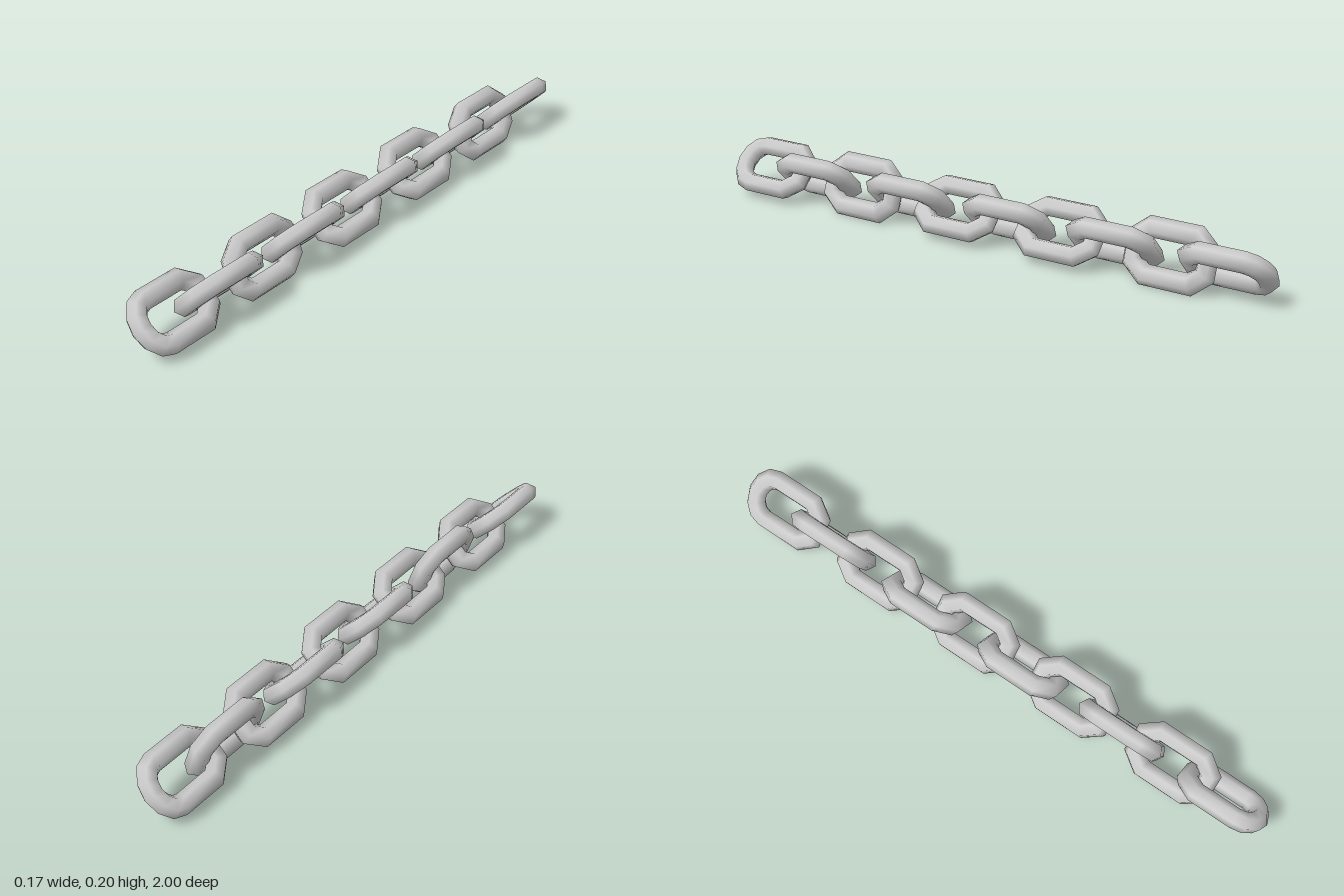
import * as THREE from 'three';

const WIRE = 0.033;   // wire radius
const SIDES = 6;      // sides of the wire
const HALF_W = 0.073; // centreline half width of a link

// Centreline of half a link, as [z, y] from one bar to the other
const facetedEnd = [[0.075, -HALF_W], [0.118, -0.037], [0.118, 0.037], [0.075, HALF_W]];
const roundEnd = [];
for (let i = 0; i <= 6; i++) {
  const a = -Math.PI / 2 + (Math.PI * i) / 6;
  roundEnd.push([0.065 + 0.058 * Math.cos(a), HALF_W * Math.sin(a)]);
}

// Closed sweep of the wire around the centreline, mitred at each corner
function linkGeometry(frontEnd, backEnd) {
  const path = [...frontEnd, ...backEnd.map(([z, y]) => [-z, -y])]
    .map(([z, y]) => new THREE.Vector2(z, y));
  const n = path.length;
  const pos = [], index = [];
  for (let i = 0; i < n; i++) {
    const p = path[i];
    const t0 = p.clone().sub(path[(i + n - 1) % n]).normalize();
    const t1 = path[(i + 1) % n].clone().sub(p).normalize();
    const t = t0.clone().add(t1).normalize();
    const miter = 1 / t.dot(t1);
    for (let j = 0; j < SIDES; j++) {
      const a = (j / SIDES) * Math.PI * 2;
      const out = Math.cos(a) * WIRE * miter;
      pos.push(Math.sin(a) * WIRE, p.y - t.x * out, p.x + t.y * out);
      const k = (j + 1) % SIDES, m = (i + 1) % n;
      const A = i * SIDES + j, B = i * SIDES + k, C = m * SIDES + j, D = m * SIDES + k;
      index.push(A, B, C, B, D, C);
    }
  }
  const g = new THREE.BufferGeometry();
  g.setAttribute('position', new THREE.Float32BufferAttribute(pos, 3));
  g.setIndex(index);
  g.computeVertexNormals();
  return g;
}

export function createModel() {
  const chain = new THREE.Group();
  chain.name = 'chain';
  const material = new THREE.MeshStandardMaterial({ color: 0xcccccc });
  const middle = linkGeometry(facetedEnd, facetedEnd);
  const front = linkGeometry(roundEnd, facetedEnd);
  const back = linkGeometry(facetedEnd, roundEnd);

  // Ten links, alternately leaning left and right; two stand more upright
  const count = 10, pitch = 0.1875;
  for (let i = 0; i < count; i++) {
    const geometry = i === 0 ? front : i === count - 1 ? back : middle;
    const link = new THREE.Mesh(geometry, material);
    link.name = `link${i + 1}`;
    const lean = i === 2 || i === 8 ? 20 : i % 2 ? -45 : 46;
    link.rotation.z = THREE.MathUtils.degToRad(lean);
    link.position.set(0, 0.1, ((count - 1) / 2 - i) * pitch);
    chain.add(link);
  }
  return chain;
}
